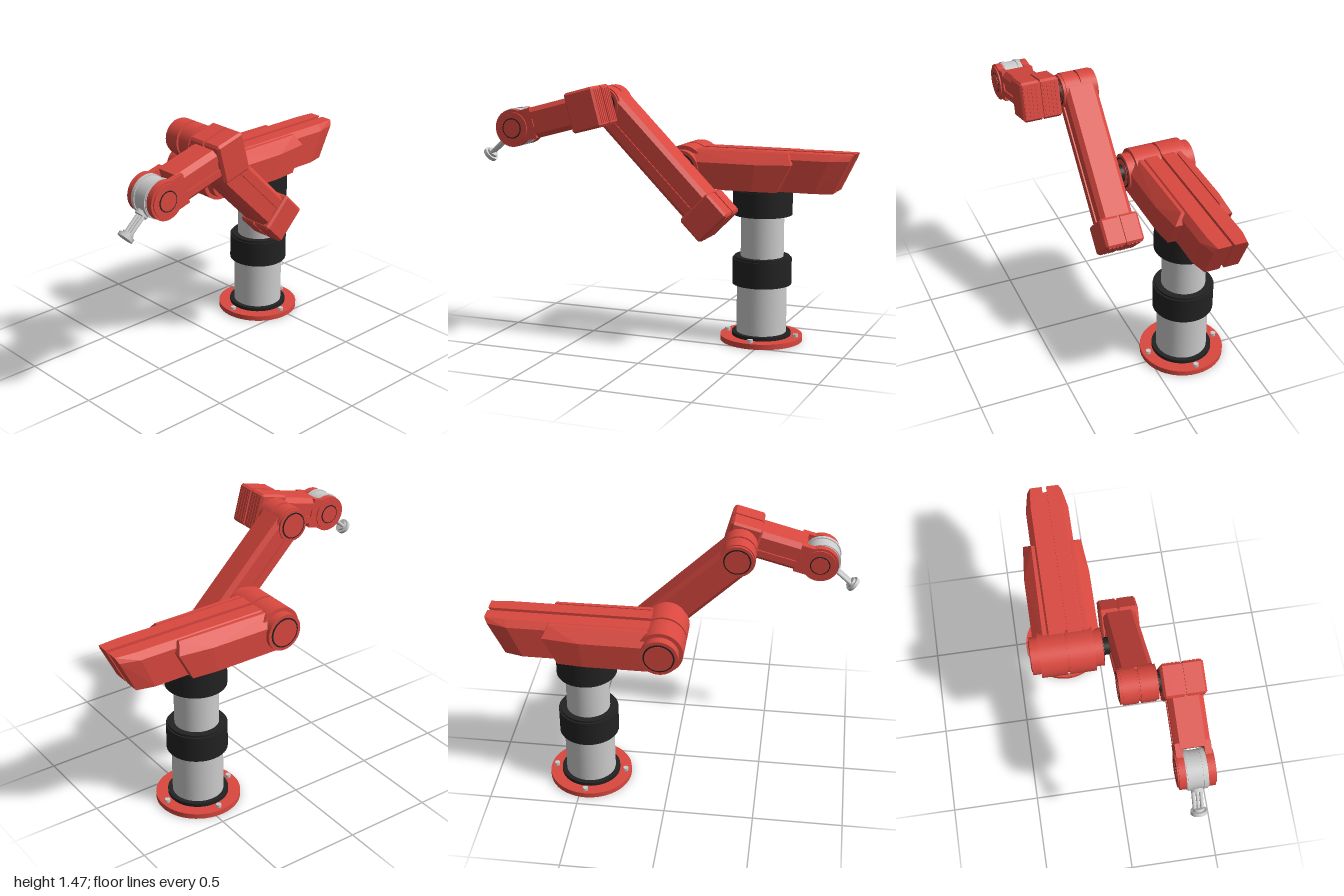
import * as THREE from 'three';
import { ConvexGeometry } from 'three/addons/geometries/ConvexGeometry.js';

const mat = (color) => new THREE.MeshStandardMaterial({ color });
const RED = mat(0xd9483f), BLACK = mat(0x222222), GREY = mat(0xcccccc);

function add(parent, name, geometry, material, x = 0, y = 0, z = 0) {
  const mesh = new THREE.Mesh(geometry, material);
  mesh.name = name;
  mesh.position.set(x, y, z);
  parent.add(mesh);
  return mesh;
}

const box = (parent, name, w, h, d, m, x, y, z) =>
  add(parent, name, new THREE.BoxGeometry(w, h, d), m, x, y, z);

// Upright cylinder between two heights
const post = (parent, name, r, y0, y1, m, x = 0, z = 0, sides = 40) =>
  add(parent, name, new THREE.CylinderGeometry(r, r, y1 - y0, sides), m, x, (y0 + y1) / 2, z);

// Cylinder lying along z
function disc(parent, name, r, z0, z1, m, x = 0, y = 0) {
  const g = new THREE.CylinderGeometry(r, r, z1 - z0, 40).rotateX(Math.PI / 2);
  return add(parent, name, g, m, x, y, (z0 + z1) / 2);
}

// Convex solid, mirrored to both sides of the local z = 0 plane
function halves(parent, name, points) {
  for (const s of [1, -1]) {
    const pts = points.map(([x, y, z]) => new THREE.Vector3(x, y, s * z));
    add(parent, name, new ConvexGeometry(pts), RED);
  }
}

// Split, chamfered block centred at x on the arm's axis
function splitBlock(parent, name, x, w, h, d) {
  const c = 0.012, pts = [];
  for (const sx of [1, -1]) for (const sy of [1, -1]) {
    pts.push([x + sx * w / 2, sy * (h / 2 - c), 0.006], [x + sx * (w / 2 - c), sy * h / 2, 0.006],
      [x + sx * w / 2, sy * (h / 2 - c), d / 2 - c], [x + sx * (w / 2 - c), sy * h / 2, d / 2 - c],
      [x + sx * (w / 2 - c), sy * (h / 2 - c), d / 2]);
  }
  halves(parent, name, pts);
  box(parent, name + 'Core', w - 0.02, h - 0.02, 0.02, RED, x, 0, 0);
  // cooling ribs on the end face
  for (let i = -4; i <= 4; i++) {
    if (i) box(parent, name + 'Rib', 0.006, h - 0.04, 0.012, RED, x + w / 2, 0, i * d * 0.1);
  }
}

// Chamfered arm bar with a channel along both flanks
function armBar(parent, name, x0, x1, h, d, c) {
  const g = 0.022, e = 0.008;
  const corner = [[d, g], [d, h - c], [d - c, h]];
  const side = [[d - e, g], ...corner];
  const flip = (list, sx, sy) => list.map(([a, b]) => [a * sx, b * sy]);
  const outline = [...flip(side, 1, 1), ...flip(side, -1, 1).reverse(),
    ...flip(side, -1, -1), ...flip(side, 1, -1).reverse()];
  const shape = new THREE.Shape(outline.map(([a, b]) => new THREE.Vector2(a, b)));
  const geo = new THREE.ExtrudeGeometry(shape, { depth: x1 - x0, bevelEnabled: false });
  geo.rotateY(Math.PI / 2);
  add(parent, name, geo, RED, x0, 0, 0);
}

// Grooved joint housing with stepped caps and dark rings
function hub(parent, name, r, half, capR, capHalf) {
  for (const s of [1, -1]) {
    const put = (n, rad, a, b, m) => disc(parent, name + n, rad, Math.min(s * a, s * b), Math.max(s * a, s * b), m);
    put('Shell', r, 0.007, half, RED);
    put('Cap', capR, half, capHalf, RED);
    put('Ring', capR * 0.82, capHalf, capHalf + 0.003, BLACK);
    put('Plate', capR * 0.74, capHalf, capHalf + 0.005, RED);
  }
  disc(parent, name + 'Core', r - 0.012, -0.01, 0.01, RED);
}

function frame(parent, name, x, y, z, angle = 0) {
  const g = new THREE.Group();
  g.name = name;
  g.position.set(x, y, z);
  g.rotation.z = angle;
  parent.add(g);
  return g;
}

export function createModel() {
  const root = new THREE.Group();
  root.name = 'robotArm';

  // Pedestal
  const base = frame(root, 'pedestal', 0.465, 0, -0.207);
  post(base, 'basePlate', 0.235, 0, 0.03, RED, 0, 0, 48);
  post(base, 'baseRing', 0.168, 0.03, 0.05, BLACK);
  for (let i = 0; i < 4; i++) {
    const a = i * Math.PI / 2;
    post(base, 'bolt', 0.016, 0.03, 0.048, GREY, 0.203 * Math.cos(a), 0.203 * Math.sin(a), 6);
  }
  post(base, 'lowerColumn', 0.142, 0.05, 0.34, GREY);
  post(base, 'upperColumn', 0.122, 0.48, 0.74, GREY);
  post(base, 'middleCollar', 0.168, 0.33, 0.478, BLACK);
  post(base, 'collarLip', 0.158, 0.478, 0.49, BLACK);
  post(base, 'topCollar', 0.168, 0.73, 0.87, BLACK);
  post(base, 'topCollarLip', 0.158, 0.87, 0.885, BLACK);

  // Shoulder beam: split tapering body with side wings
  const shoulder = frame(root, 'shoulder', 0, 0, -0.213);
  halves(shoulder, 'beam', [
    [0.06, 0.88, 0.012], [0.06, 1.095, 0.012], [0.06, 0.88, 0.12], [0.06, 1.095, 0.09], [0.06, 1.06, 0.12],
    [0.89, 0.88, 0.012], [0.995, 1.095, 0.012],
    [0.79, 0.88, 0.12], [0.87, 1.06, 0.12], [0.88, 1.095, 0.09],
    [0.89, 0.88, 0.095], [0.98, 1.065, 0.098], [0.995, 1.095, 0.08]]);
  const core = new THREE.Shape([[0.06, 0.89], [0.88, 0.89], [0.97, 1.075], [0.06, 1.075]]
    .map(([x, y]) => new THREE.Vector2(x, y)));
  add(shoulder, 'beamCore', new THREE.ExtrudeGeometry(core, { depth: 0.03, bevelEnabled: false }), RED, 0, 0, -0.015);
  halves(shoulder, 'wing', [
    [0.06, 0.88, 0.1], [0.06, 1.093, 0.1], [0.06, 1.093, 0.125], [0.06, 0.88, 0.178], [0.06, 1.03, 0.182],
    [0.45, 0.88, 0.178], [0.47, 1.03, 0.182],
    [0.59, 0.88, 0.165], [0.67, 1.035, 0.163], [0.64, 1.093, 0.118],
    [0.59, 0.88, 0.1], [0.67, 1.035, 0.1], [0.64, 1.093, 0.1]]);
  const shoulderHub = frame(root, 'shoulderJoint', 0.035, 0.988, -0.22);
  hub(shoulderHub, 'shoulderHub', 0.126, 0.15, 0.104, 0.197);
  disc(root, 'shoulderAxle', 0.048, -0.04, 0.03, BLACK, 0.035, 0.988);

  // Upper arm, from the elbow down to the counterweight block
  const upper = frame(root, 'upperArm', -0.335, 1.355, 0.105, -Math.PI / 4);
  hub(upper, 'elbowHub', 0.098, 0.085, 0.092, 0.1);
  armBar(upper, 'upperArmBar', 0, 0.78, 0.097, 0.092, 0.024);
  splitBlock(upper, 'upperArmBlock', 0.841, 0.166, 0.226, 0.22);
  disc(root, 'elbowAxle', 0.058, 0.19, 0.24, BLACK, -0.335, 1.355);

  // Forearm, from the wrist fork up to the elbow block
  const fore = frame(root, 'forearm', -0.777, 1.229, 0.333, Math.PI / 12);
  splitBlock(fore, 'forearmBlock', 0.448, 0.178, 0.222, 0.222);
  armBar(fore, 'forearmBar', 0.1, 0.38, 0.086, 0.092, 0.026);
  for (const s of [1, -1]) {
    const flat = (n, r, a, b, m) => disc(fore, n, r, Math.min(s * a, s * b), Math.max(s * a, s * b), m);
    flat('forkDisc', 0.103, 0.056, 0.092, RED);
    flat('forkCap', 0.09, 0.092, 0.099, RED);
    flat('forkRing', 0.056, 0.099, 0.101, BLACK);
    flat('forkPlate', 0.05, 0.099, 0.103, RED);
    box(fore, 'forkProng', 0.12, 0.17, 0.036, RED, 0.07, 0, s * 0.074);
  }

  // Wrist wheel and tool, local x pointing along the tool
  const wrist = frame(root, 'wrist', -0.785, 1.229, 0.333, Math.PI + 0.73);
  disc(wrist, 'wristWheel', 0.1, -0.056, 0.056, GREY);
  for (const s of [1, -1]) disc(wrist, 'wheelRim', 0.105, s * 0.04 - 0.01, s * 0.04 + 0.01, GREY);
  const along = (n, r, x0, x1, z = 0) =>
    add(wrist, n, new THREE.CylinderGeometry(r, r, x1 - x0, 24).rotateZ(Math.PI / 2), GREY, (x0 + x1) / 2, 0, z);
  along('toolMount', 0.034, 0.08, 0.118);
  for (const z of [-0.02, 0.02]) along('toolRod', 0.01, 0.09, 0.24, z);
  along('toolCore', 0.008, 0.09, 0.24);
  along('toolNeck', 0.03, 0.222, 0.236);
  along('toolDisc', 0.043, 0.236, 0.256);
  return root;
}
